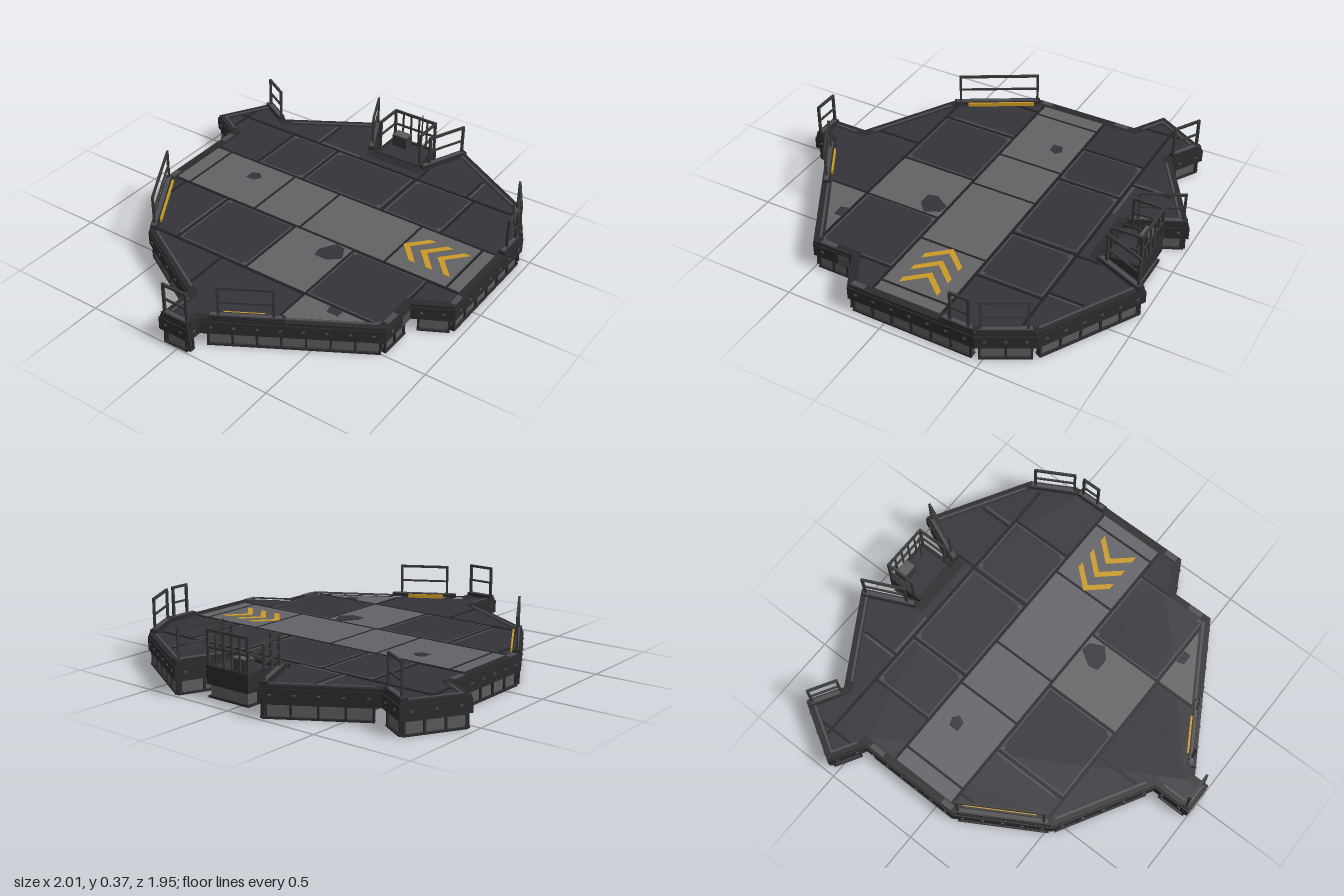
import * as THREE from 'three';

const mat = (name, color) => Object.assign(new THREE.MeshStandardMaterial({ color }), { name });

// platform outline as [x, z], clockwise seen from above
const OUTLINE = [[-.12, -.81], [.43, -.81], [.53, -.98], [.82, -.81], [.72, -.64], [1, -.18], [.72, -.05],
  [.72, .21], [1, .33], [.71, .83], [.47, .965], [-.19, .965], [-.285, .79], [-.5, .79], [-.92, .07],
  [-1, .07], [-1, -.1], [-.8, -.1], [-.535, -.565]];
const N = OUTLINE.length;

// outline moved inward by d, with mitred corners
function inset(d) {
  return OUTLINE.map((p, i) => {
    const a = OUTLINE[(i + N - 1) % N], b = OUTLINE[(i + 1) % N];
    const l1 = Math.hypot(p[0] - a[0], p[1] - a[1]), l2 = Math.hypot(b[0] - p[0], b[1] - p[1]);
    const n1 = [-(p[1] - a[1]) / l1, (p[0] - a[0]) / l1], n2 = [-(b[1] - p[1]) / l2, (b[0] - p[0]) / l2];
    const k = d / (1 + n1[0] * n2[0] + n1[1] * n2[1]);
    return [p[0] + (n1[0] + n2[0]) * k, p[1] + (n1[1] + n2[1]) * k];
  });
}

// flat slab from [x, z] points between two heights
function slab(points, y0, y1, hole) {
  const v = list => list.map(([x, z]) => new THREE.Vector2(x, -z));
  const shape = new THREE.Shape(v(points));
  if (hole) shape.holes.push(new THREE.Path(v(hole)));
  const g = new THREE.ExtrudeGeometry(shape, { depth: y1 - y0, bevelEnabled: false });
  return g.rotateX(-Math.PI / 2).translate(0, y0, 0);
}

export function createModel() {
  const root = new THREE.Group();
  root.name = 'platform';
  const M = {
    deck: mat('deckCharcoal', 0x34333a), lane: mat('laneGrey', 0x636266), curb: mat('curbDark', 0x2b2b2e),
    seam: mat('seamBlack', 0x222225), panel: mat('panelGrey', 0x5c5c5f), trim: mat('wornEdgeGrey', 0x4d4d51),
    under: mat('undersideBlack', 0x19191b), rail: mat('railGrey', 0x363837), yellow: mat('markingYellow', 0xc99a26),
  };
  const add = (parent, name, geo, m) => {
    const mesh = new THREE.Mesh(geo, m);
    mesh.name = name;
    parent.add(mesh);
    return mesh;
  };
  // box given by its min and max corners
  const box = (parent, name, m, x0, x1, y0, y1, z0, z1) => add(parent, name,
    new THREE.BoxGeometry(x1 - x0, y1 - y0, z1 - z0).translate((x0 + x1) / 2, (y0 + y1) / 2, (z0 + z1) / 2), m);

  // main body
  add(root, 'edgeBand', slab(OUTLINE, .072, .138, inset(.05)), M.curb);
  add(root, 'curb', slab(inset(.006), .138, .153, inset(.045)), M.curb);
  add(root, 'deck', slab(inset(.046), .08, .144), M.deck);
  add(root, 'underside', slab(inset(.03), .066, .071), M.under);
  for (const z of [-.55, -.25, .35, .62]) {
    box(root, 'underBeamWeb', M.curb, -.4, .7, .04, .067, z - .008, z + .008);
    box(root, 'underBeamFlange', M.trim, -.4, .7, .034, .04, z - .018, z + .018);
  }

  // deck plates, wear and seams
  const plate = (name, m, x0, x1, z0, z1, y = .1465) => box(root, name, m, x0, x1, .143, y, z0, z1);
  plate('lane', M.lane, -.08, .275, -.765, .918);
  plate('lightPlate', M.lane, -.49, -.08, 0, .34);
  add(root, 'lightCornerPlate', slab([[-.7, .345], [-.49, .345], [-.49, .7]], .143, .1465), M.lane);
  const tiles = [[-.48, -.09, -.41, -.01], [-.48, -.09, .35, .75], [.287, .61, -.5, -.23], [.287, .61, -.21, .25],
    [.287, .61, .28, .6]];
  for (const [x0, x1, z0, z1] of tiles) {
    const w = .007;
    plate('wornEdge', M.trim, x0, x1, z0, z0 + w);
    plate('wornEdge', M.trim, x0, x1, z1 - w, z1);
    plate('wornEdge', M.trim, x0, x0 + w, z0, z1);
    plate('wornEdge', M.trim, x1 - w, x1, z0, z1);
    plate('wornCorner', M.trim, x0, x0 + .025, z1 - .02, z1);
    plate('wornCorner', M.trim, x1 - .022, x1, z0, z0 + .025);
  }
  plate('wornEdge', M.trim, -.45, -.09, -.44, -.43);
  plate('wornEdge', M.trim, .63, .82, -.37, -.355);
  plate('wornEdge', M.trim, .63, .645, -.34, -.1);
  plate('wornEdge', M.trim, .63, .79, .57, .58);
  for (const [x, z0, z1] of [[-.49, -.54, .74], [-.08, -.765, .918], [.277, -.765, .918], [.622, -.87, .82]])
    plate('longSeam', M.seam, x - .007, x + .007, z0, z1, .1475);
  const cross = [[-.08, .277, [-.68, -.26, .02, .51, .85]], [-.49, -.08, [-.42, 0, .345, .757]],
    [.277, .622, [-.51, -.22, .265, .61]], [-.73, -.49, [-.14]], [-.7, -.49, [.345]], [.49, .74, [-.84]],
    [.622, .83, [-.35]], [.622, .8, [.56]], [.622, .74, [.27]], [-.3, -.08, [-.7]]];
  for (const [x0, x1, zs] of cross)
    for (const z of zs) plate('crossSeam', M.seam, x0, x1, z - .006, z + .006, .1473);

  // dark scorch patches
  const scorch = [[[.13, -.47], [.18, -.47], [.195, -.43], [.17, -.4], [.13, -.42]],
    [[-.22, .21], [-.17, .2], [-.09, .25], [-.1, .3], [-.17, .335], [-.22, .28]],
    [[-.54, .5], [-.5, .49], [-.5, .56], [-.54, .56]]];
  for (const s of scorch) add(root, 'scorchPatch', slab(s, .146, .148), M.deck);

  // chevrons
  for (const z of [.51, .605, .7])
    add(root, 'chevron', slab([[.1, z], [.2, z + .09], [.2, z + .125], [.1, z + .037], [0, z + .125], [0, z + .09]],
      .146, .1485), M.yellow);

  // guard rail along local x
  function guardRail(parent, x0, x1, z, bars = 0) {
    const g = new THREE.Group();
    g.name = 'guardRail';
    parent.add(g);
    const r = .006, post = (x, s) => box(g, 'railPost', M.rail, x - s, x + s, .145, .32, z - s, z + s);
    post(x0, r);
    post(x1, r);
    for (let i = 1; i <= bars; i++) post(x0 + (x1 - x0) * i / (bars + 1), .004);
    box(g, 'topRail', M.rail, x0 - r, x1 + r, .312, .324, z - r, z + r);
    box(g, 'midRail', M.rail, x0, x1, .234, .243, z - .0045, z + .0045);
    return g;
  }

  // edge fittings: local x runs along the edge, local z points inward
  const rails = { 18: [.09, .95], 9: [.15, .9], 10: [.06, .2], 3: [.15, .9], 5: [.1, .8], 7: [.2, .9],
    13: [.6, .9], 15: [.12, .88] };
  const trims = [1, 2, 3, 4, 7, 8, 13, 16, 17, 18];
  const concave = i => {
    const a = OUTLINE[(i + N - 1) % N], p = OUTLINE[i % N], b = OUTLINE[(i + 1) % N];
    return (p[0] - a[0]) * (b[1] - p[1]) - (p[1] - a[1]) * (b[0] - p[0]) < 0;
  };
  OUTLINE.forEach((a, i) => {
    const b = OUTLINE[(i + 1) % N], dx = b[0] - a[0], dz = b[1] - a[1], L = Math.hypot(dx, dz);
    const e = new THREE.Group();
    e.name = 'edgeSection';
    e.position.set(a[0], 0, a[1]);
    e.rotation.y = Math.atan2(-dz, dx);
    root.add(e);

    // skirt wall, foot flange and ribs
    const s = concave(i) ? .03 : .018, t = L - (concave((i + 1) % N) ? .03 : .018);
    if (t - s > .03) {
      box(e, 'skirtPanel', M.panel, s, t, .008, .073, .018, .028);
      box(e, 'footFlange', M.curb, s, t, 0, .009, .006, .042);
      box(e, 'skirtTopStrip', M.curb, s, t, .064, .073, .01, .03);
      const n = Math.max(1, Math.round((t - s) / .11));
      for (let k = 0; k <= n; k++) {
        const x = s + .005 + (t - s - .01) * k / n;
        box(e, 'skirtRib', M.curb, x - .005, x + .005, .008, .07, .009, .036);
      }
    }
    // bolts on the band
    const nb = Math.max(1, Math.round(L / .1));
    for (let k = 0; k < nb; k++) {
      const x = L * (k + .5) / nb;
      box(e, 'bolt', M.trim, x - .007, x + .007, .107, .115, -.005, .002);
    }
    if (trims.includes(i)) box(e, 'curbTrim', M.trim, .03, L - .03, .15, .1555, .03, .041);

    // rail on its raised base
    if (rails[i]) {
      const x0 = rails[i][0] * L, x1 = rails[i][1] * L, p0 = Math.max(.01, x0 - .05), p1 = Math.min(L - .01, x1 + .05);
      box(e, 'railBase', M.curb, p0, p1, .15, .168, .008, .043);
      box(e, 'railBaseTop', M.trim, p0 + .012, p1 - .012, .167, .17, .015, .036);
      guardRail(e, x0, x1, .024);
      if (i === 18 || i === 13) box(e, 'yellowToeStrip', M.yellow, x0 + .04, x1 - .02, .146, .166, .043, .052);
    }
  });

  // corner caps and worn patches on the curb
  for (const [x, z, w] of [[.37, -.785, .08], [-.07, -.785, .06], [-.42, .765, .08], [-.14, .94, .07]])
    box(root, 'curbCap', M.trim, x - w / 2, x + w / 2, .15, .157, z - .014, z + .014);
  box(root, 'wornBandPatch', M.trim, -.36, -.3, .078, .13, .785, .793);

  // side balcony with console and antenna
  const bal = new THREE.Group();
  bal.name = 'sideBalcony';
  root.add(bal);
  box(bal, 'balconyBody', M.curb, .7, .92, .065, .14, -.05, .21);
  box(bal, 'balconySkirt', M.panel, .72, .905, .01, .065, -.035, .195);
  box(bal, 'balconyFoot', M.curb, .71, .915, 0, .01, -.045, .205);
  box(bal, 'balconyFloor', M.deck, .74, .905, .14, .146, -.035, .195);
  for (const z of [-.045, .2]) {
    box(bal, 'balconyCurb', M.curb, .72, .92, .14, .154, z - .005, z + .01);
    guardRail(bal, .76, .91, z);
  }
  box(bal, 'balconyCurb', M.curb, .905, .92, .14, .154, -.05, .21);
  const outer = guardRail(bal, -.2, .045, 0, 4);
  outer.rotation.y = Math.PI / 2;
  outer.position.x = .91;
  box(bal, 'console', M.rail, .84, .9, .14, .208, -.02, .068);
  box(bal, 'consoleTop', M.panel, .843, .897, .207, .212, -.016, .064);
  add(bal, 'antenna', new THREE.CylinderGeometry(.004, .005, .23, 6).translate(.868, .255, .145), M.rail);
  return root;
}
